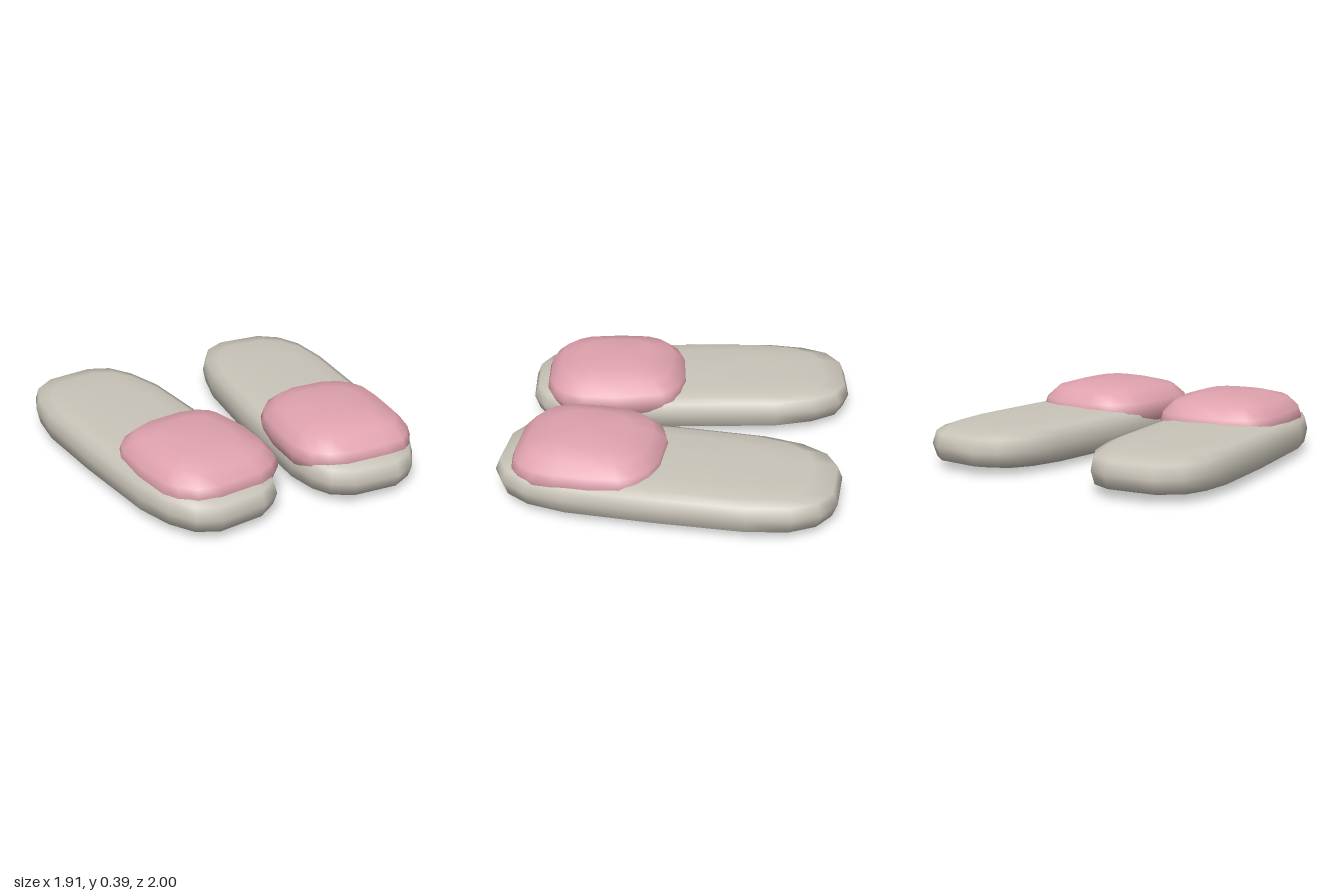
import * as THREE from 'three';

// Outlines as [x, z], clockwise seen from above, starting at the heel side
const RIGHT_SOLE = [[-0.5, -1], [-0.37, -0.95], [-0.27, -0.81], [-0.185, -0.58], [-0.08, 0.1], [-0.035, 0.55],
  [-0.05, 0.74], [-0.09, 0.86], [-0.21, 0.95], [-0.49, 0.995], [-0.62, 0.94], [-0.72, 0.8], [-0.8, 0.58],
  [-0.9, 0], [-0.96, -0.47], [-0.95, -0.7], [-0.9, -0.86], [-0.78, -0.96]];
const LEFT_SOLE = [[0.45, -1], [0.73, -0.985], [0.85, -0.9], [0.925, -0.75], [0.955, -0.5], [0.94, 0],
  [0.905, 0.55], [0.85, 0.78], [0.76, 0.92], [0.63, 0.99], [0.35, 0.98], [0.23, 0.91], [0.17, 0.8],
  [0.13, 0.62], [0.14, 0], [0.175, -0.55], [0.23, -0.78], [0.32, -0.93]];
const RIGHT_STRAP = [[-0.32, 0], [-0.195, 0.02], [-0.12, 0.06], [-0.08, 0.12], [-0.04, 0.25], [0, 0.4],
  [0.015, 0.6], [-0.01, 0.72], [-0.08, 0.8], [-0.18, 0.855], [-0.45, 0.895], [-0.58, 0.875], [-0.67, 0.8],
  [-0.72, 0.72], [-0.77, 0.49], [-0.785, 0.27], [-0.755, 0.17], [-0.7, 0.1], [-0.58, 0.04]];
const LEFT_STRAP = [[0.4, 0.005], [0.65, 0.015], [0.77, 0.06], [0.84, 0.13], [0.885, 0.22], [0.895, 0.4],
  [0.885, 0.6], [0.86, 0.73], [0.8, 0.82], [0.74, 0.865], [0.62, 0.885], [0.36, 0.88], [0.25, 0.84],
  [0.17, 0.78], [0.115, 0.65], [0.115, 0.4], [0.135, 0.24], [0.18, 0.14], [0.26, 0.05]];

// Side profiles as [height, outline scale], bottom to top
const SOLE_PROFILE = [[0.01, 0.6], [0.025, 0.84], [0.055, 0.97], [0.135, 1], [0.21, 0.97], [0.235, 0.84], [0.25, 0.6]];
const STRAP_PROFILE = [[0.09, 0.5], [0.12, 0.86], [0.16, 0.95], [0.225, 1], [0.28, 0.96], [0.345, 0.8], [0.38, 0.5]];

// Closed cushion: the outline is scaled about its middle at each height, then capped
function cushion(outline, profile, bottomY, topY) {
  const n = outline.length;
  const mid = (k) => {
    const v = outline.map((p) => p[k]);
    return (Math.min(...v) + Math.max(...v)) / 2;
  };
  const cx = mid(0), cz = mid(1);
  const positions = [], index = [];
  for (const [y, s] of profile) {
    for (const [x, z] of outline) positions.push(cx + (x - cx) * s, y, cz + (z - cz) * s);
  }
  const bottom = profile.length * n, top = bottom + 1, last = bottom - n;
  positions.push(cx, bottomY, cz, cx, topY, cz);
  for (let i = 0; i < n; i++) {
    const j = (i + 1) % n;
    for (let r = 0; r < last; r += n) {
      index.push(r + i, r + n + i, r + n + j, r + i, r + n + j, r + j);
    }
    index.push(bottom, i, j, top, last + j, last + i);
  }
  const geometry = new THREE.BufferGeometry();
  geometry.setAttribute('position', new THREE.Float32BufferAttribute(positions, 3));
  geometry.setIndex(index);
  geometry.computeVertexNormals();
  return geometry;
}

export function createModel() {
  const beige = new THREE.MeshStandardMaterial({ color: 0xc9c4b8 });
  beige.name = 'beige sole';
  const pink = new THREE.MeshStandardMaterial({ color: 0xdfa2ad });
  pink.name = 'pink strap';

  const model = new THREE.Group();
  model.name = 'slippers';
  for (const [side, sole, strap] of [['right', RIGHT_SOLE, RIGHT_STRAP], ['left', LEFT_SOLE, LEFT_STRAP]]) {
    const slipper = new THREE.Group();
    slipper.name = side + 'Slipper';
    const soleMesh = new THREE.Mesh(cushion(sole, SOLE_PROFILE, 0, 0.256), beige);
    soleMesh.name = side + 'Sole';
    const strapMesh = new THREE.Mesh(cushion(strap, STRAP_PROFILE, 0.07, 0.39), pink);
    strapMesh.name = side + 'Strap';
    slipper.add(soleMesh, strapMesh);
    model.add(slipper);
  }
  return model;
}
